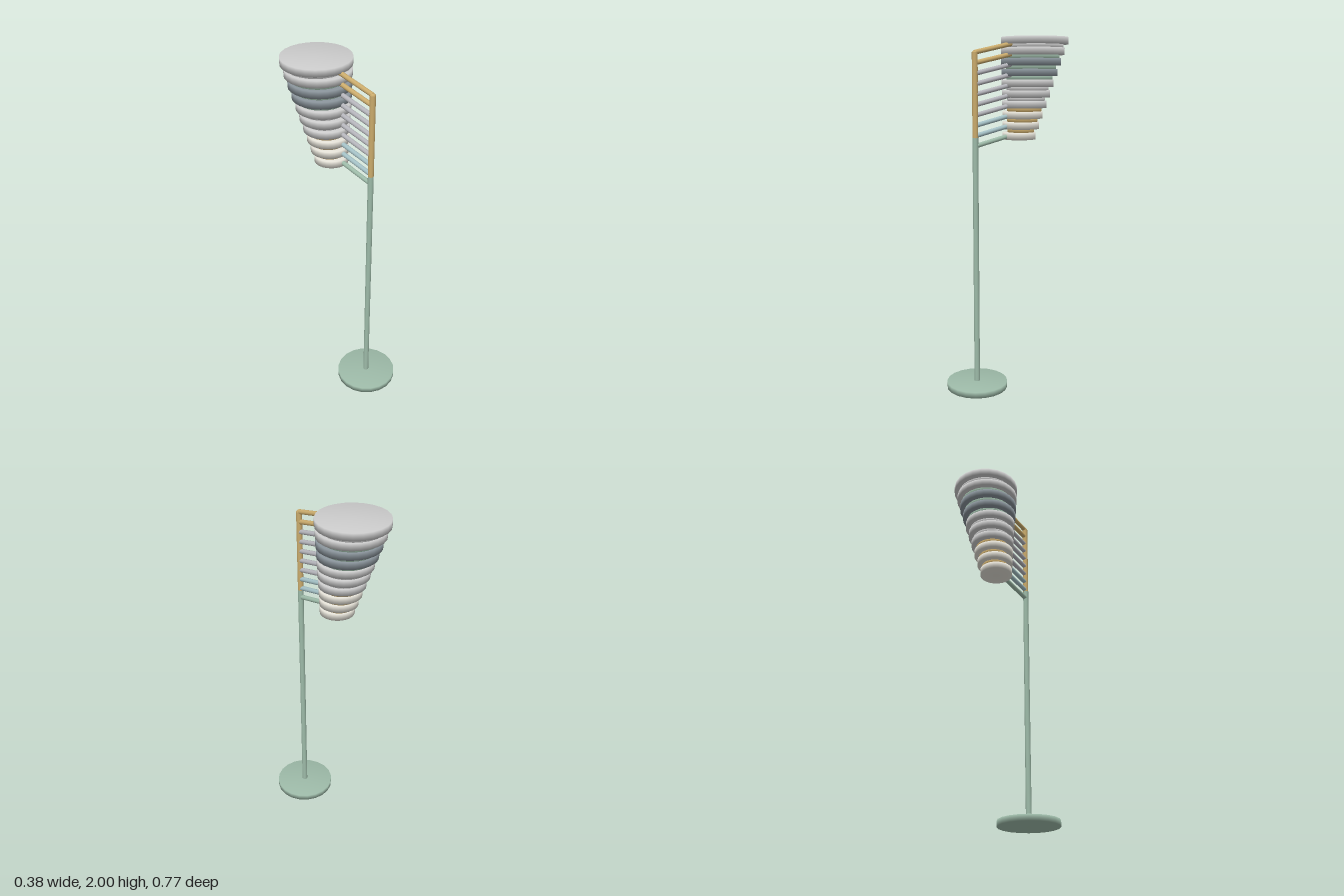
import * as THREE from 'three';

const GREEN = 0x9dbaa8, BLUE = 0xa3bfc4, GOLD = 0xcaab6c, GREY = 0xb4b4ba;
const LIGHT = 0xd6d7d9, SLATE = 0x89939a, CREAM = 0xe2dfd5;
const POLE_Z = 0.21, COUNT = 10;

const paint = (color) => new THREE.MeshStandardMaterial({ color });

function add(group, name, geometry, color) {
  const mesh = new THREE.Mesh(geometry, paint(color));
  mesh.name = name;
  group.add(mesh);
  return mesh;
}

// Solid disc with softly shaded faces
function disc(radius, height, sides) {
  const profile = [[0, 0], [radius, 0], [radius, height], [0, height]];
  return new THREE.LatheGeometry(profile.map(([x, y]) => new THREE.Vector2(x, y)), sides);
}

// Round bar between two points in the plane x = 0
function bar(group, name, [y0, z0], [y1, z1], radius, color) {
  const a = new THREE.Vector3(0, y0, z0), b = new THREE.Vector3(0, y1, z1);
  const dir = b.clone().sub(a);
  const mesh = add(group, name, new THREE.CylinderGeometry(radius, radius, dir.length(), 12), color);
  mesh.position.copy(a).add(b).multiplyScalar(0.5);
  mesh.quaternion.setFromUnitVectors(new THREE.Vector3(0, 1, 0), dir.normalize());
}

export function createModel() {
  const model = new THREE.Group();
  model.name = 'floorLamp';

  // Foot and two-tone pole
  add(model, 'base', disc(0.175, 0.035, 20), GREEN).position.z = POLE_Z;
  bar(model, 'lowerPole', [0.02, POLE_Z], [1.45, POLE_Z], 0.016, GREEN);
  bar(model, 'upperPole', [1.45, POLE_Z], [1.91, POLE_Z], 0.016, GOLD);
  add(model, 'poleCap', new THREE.SphereGeometry(0.016, 12, 8), GOLD).position.set(0, 1.905, POLE_Z);

  const shadeColors = [LIGHT, LIGHT, SLATE, SLATE, LIGHT, LIGHT, LIGHT, CREAM, CREAM, CREAM];
  const armColors = [GOLD, GOLD, GREY, GREY, GREY, GREY, GREY, BLUE, BLUE, GREEN];
  const coreColors = [LIGHT, GREEN, GREEN, GREEN, LIGHT, LIGHT, GOLD, GOLD, GOLD];
  const shade = new THREE.Group();
  const arms = new THREE.Group();
  shade.name = 'shade';
  arms.name = 'arms';
  model.add(shade, arms);

  // Tapering stack of discs, each carried by a sloping arm
  for (let i = 0; i < COUNT; i++) {
    const t = i / (COUNT - 1);
    const radius = THREE.MathUtils.lerp(0.192, 0.094, t);
    const z = THREE.MathUtils.lerp(0, 0.008, t) - radius;
    const y = THREE.MathUtils.lerp(1.96, 1.43, t);
    add(shade, 'shadeDisc', disc(radius, 0.04, 24), shadeColors[i]).position.set(0, y, z);

    // Narrow spacer beneath the disc
    if (i < COUNT - 1) {
      add(shade, 'spacer', disc(radius - 0.028, 0.03, 24), coreColors[i]).position.set(0, y - 0.025, z);
    }

    const armY = THREE.MathUtils.lerp(1.91, 1.405, t);
    bar(arms, 'arm', [armY, POLE_Z], [armY + 0.05, -0.03], 0.013, armColors[i]);
  }
  return model;
}
